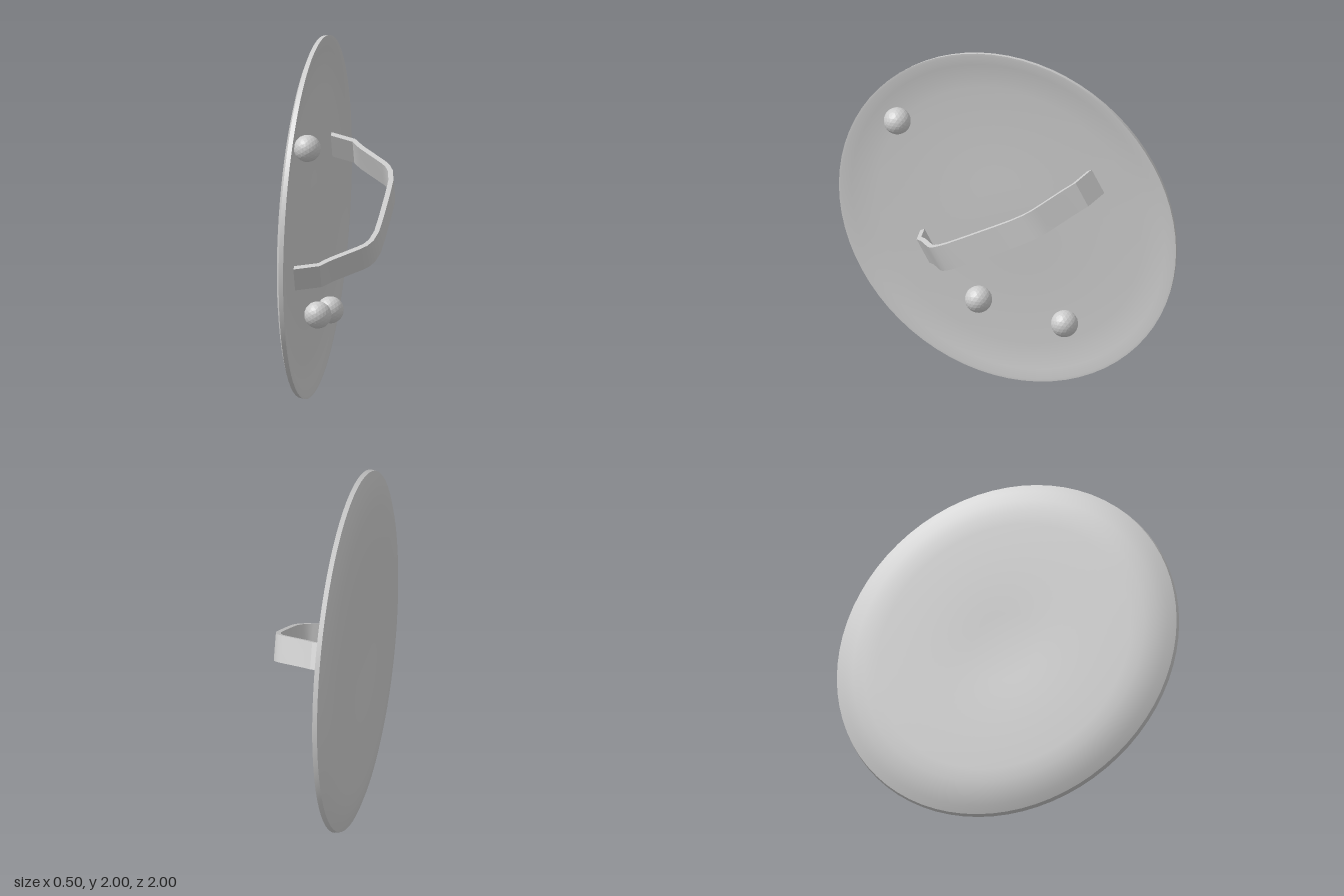
import * as THREE from 'three';
import { toCreasedNormals } from 'three/addons/utils/BufferGeometryUtils.js';

const v2 = (p) => new THREE.Vector2(p[0], p[1]);

// Offsets an open polyline sideways to give a strip of even thickness
function stripShape(points, thickness) {
  const inner = points.map((p, i) => {
    const a = points[Math.max(i - 1, 0)];
    const b = points[Math.min(i + 1, points.length - 1)];
    const t = b.clone().sub(a).normalize();
    return new THREE.Vector2(p.x + t.y * thickness, p.y - t.x * thickness);
  });
  return new THREE.Shape([...points, ...inner.reverse()]);
}

export function createModel() {
  const model = new THREE.Group();
  model.name = 'shield';
  const grey = new THREE.MeshStandardMaterial({ color: 0xcccccc });
  grey.name = 'light grey';

  // Slightly tilted frame: x along the handle, y out of the dish
  const n = new THREE.Vector3(1, -0.033, 0.029).normalize();
  const u = new THREE.Vector3(0, 0.491, -0.871);
  u.addScaledVector(n, -u.dot(n)).normalize();
  const w = new THREE.Vector3().crossVectors(u, n);
  const tilted = new THREE.Group();
  tilted.name = 'tiltedBody';
  tilted.quaternion.setFromRotationMatrix(new THREE.Matrix4().makeBasis(u, n, w));
  tilted.position.set(-0.157, 1, 0);
  model.add(tilted);

  // Shallow dish, from the back centre round the rim to the front centre
  const profile = [
    [0, -0.052], [0.2, -0.052], [0.28, -0.055], [0.5, -0.055], [0.74, -0.055],
    [0.82, -0.052], [0.89, -0.043], [0.95, -0.029], [0.995, -0.013],
    [1, 0.013], [0.985, 0.013], [0.93, 0.003], [0.86, -0.007], [0.78, -0.013],
    [0.5, -0.015], [0.28, -0.015], [0.2, -0.012], [0, -0.012],
  ].map(v2);
  const dish = new THREE.Mesh(toCreasedNormals(new THREE.LatheGeometry(profile, 72), 0.5), grey);
  dish.name = 'dish';
  tilted.add(dish);

  // Bent strap handle, mirrored from one half profile
  const half = [
    [0.59, -0.02], [0.545, 0.125], [0.525, 0.145], [0.49, 0.18],
    [0.375, 0.325], [0.345, 0.355], [0.3, 0.38], [0.22, 0.397], [0.1, 0.4],
  ].map(v2);
  const outer = [...half.map((p) => new THREE.Vector2(-p.x, p.y)), ...half.slice().reverse()];
  const strap = new THREE.ExtrudeGeometry(stripShape(outer, 0.028), { depth: 0.15, bevelEnabled: false });
  strap.translate(0.028, 0, -0.075 - 0.015);
  const handle = new THREE.Mesh(toCreasedNormals(strap, 0.4), grey);
  handle.name = 'handle';
  tilted.add(handle);

  // Three faceted studs resting on the inside of the dish
  const ball = new THREE.IcosahedronGeometry(0.075, 3);
  ball.computeVertexNormals();
  [[-0.1, 1.5, 0.63], [-0.117, 0.485, 0.16], [-0.128, 0.42, -0.34]].forEach((p, i) => {
    const stud = new THREE.Mesh(ball, grey);
    stud.name = 'stud' + (i + 1);
    stud.position.set(...p);
    model.add(stud);
  });

  return model;
}
